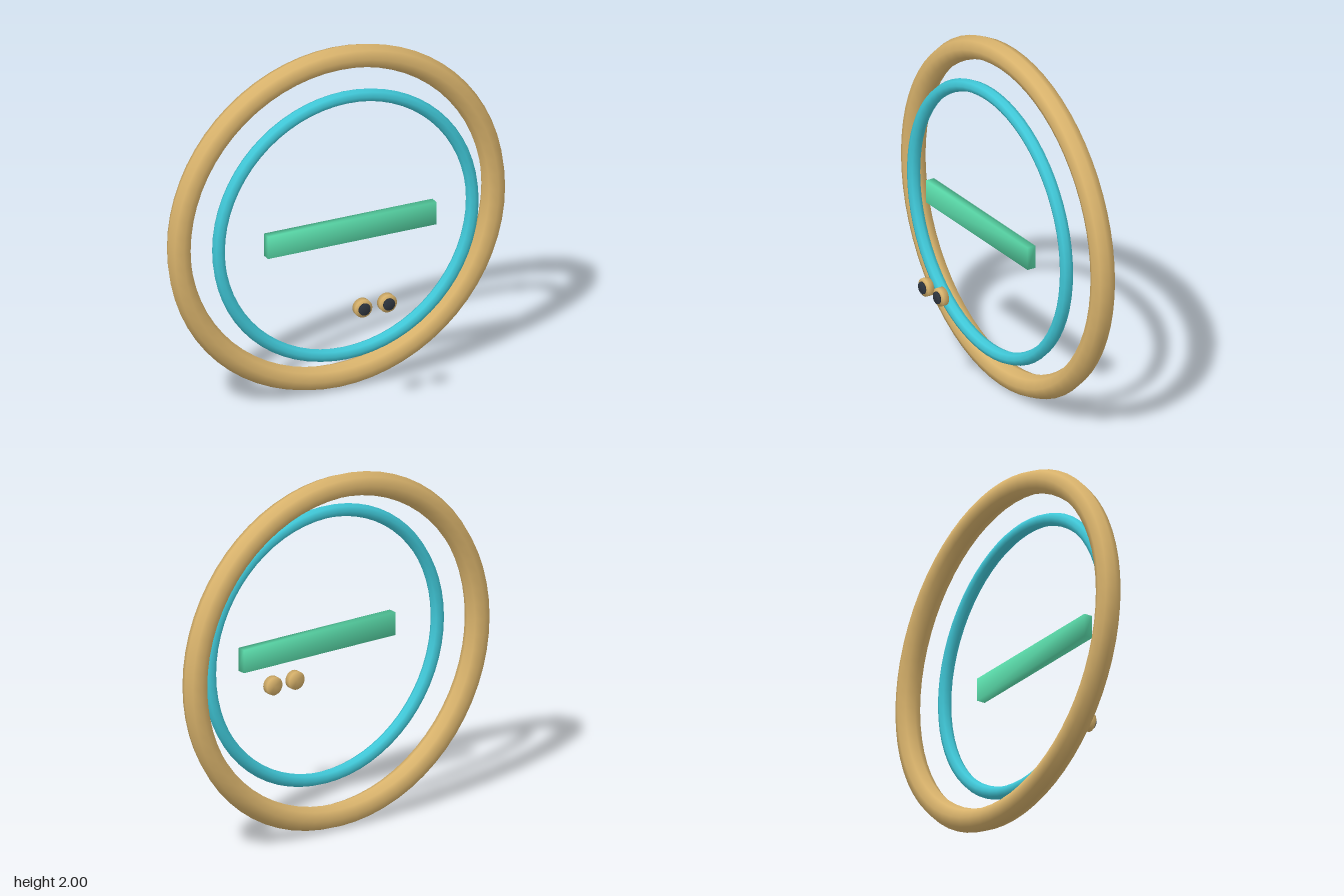
import * as THREE from 'three';
import { mergeVertices } from 'three/addons/utils/BufferGeometryUtils.js';

const material = (name, color) => {
  const m = new THREE.MeshStandardMaterial({ color });
  m.name = name;
  return m;
};

// Share corner vertices so the shading runs smoothly over the edges
function softened(geometry) {
  geometry.deleteAttribute('normal');
  geometry.deleteAttribute('uv');
  const merged = mergeVertices(geometry);
  merged.computeVertexNormals();
  return merged;
}

export function createModel() {
  const gold = material('gold', 0xd9b36c);
  const cyan = material('cyan', 0x40c8d8);
  const mint = material('mint', 0x5adbaa);
  const dark = material('dark slate', 0x2f3640);

  const model = new THREE.Group();
  model.name = 'ringedFace';

  const add = (name, geometry, mat, x, y, z) => {
    const mesh = new THREE.Mesh(geometry, mat);
    mesh.name = name;
    mesh.position.set(x, y, z);
    model.add(mesh);
  };

  // Upright concentric rings
  add('outerRing', new THREE.TorusGeometry(0.933, 0.067, 8, 64), gold, 0, 1, -0.218);
  add('innerRing', new THREE.TorusGeometry(0.753, 0.036, 8, 64), cyan, 0, 1, -0.104);

  // Crossbar
  add('crossbar', softened(new THREE.BoxGeometry(1, 0.13, 0.05)), mint, 0, 1.003, -0.045);

  // Eyes: short discs with thin pupils floating just in front
  const disc = (radius, depth) =>
    softened(new THREE.CylinderGeometry(radius, radius, depth, 24).rotateX(Math.PI / 2));
  for (const [side, sign] of [['left', 1], ['right', -1]]) {
    add(`${side}Eye`, disc(0.051, 0.035), gold, sign * 0.073, 0.68, 0.253);
    add(`${side}Pupil`, disc(0.034, 0.009), dark, sign * 0.073, 0.68, 0.28);
  }

  return model;
}
